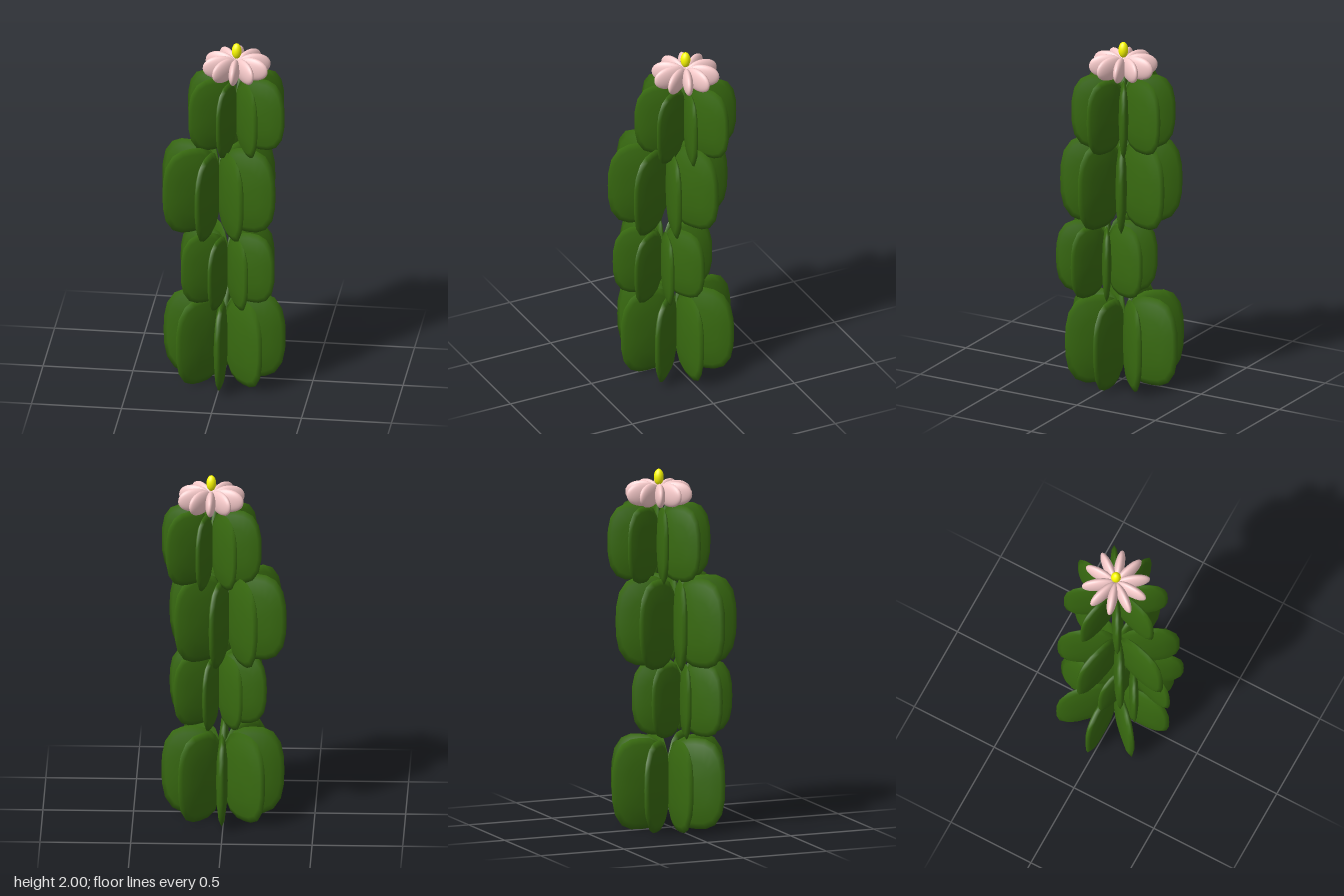
import * as THREE from 'three';
import { mergeVertices } from 'three/addons/utils/BufferGeometryUtils.js';

const green = new THREE.MeshStandardMaterial({ color: 0x386a10 });
const pink = new THREE.MeshStandardMaterial({ color: 0xf9cccc });
const yellow = new THREE.MeshStandardMaterial({ color: 0xffff00 });

// Flattened lobe reaching from the axis out to `length` along +x.
// `power` above 2 squares off its outline; `rings` sets how faceted its edge is.
function lobeGeometry(length, height, thickness, power, segments, rings) {
  let g = new THREE.SphereGeometry(1, segments, rings);
  g.rotateX(Math.PI / 2);
  g.deleteAttribute('uv');
  g.deleteAttribute('normal');
  g = mergeVertices(g, 1e-4);
  const p = g.attributes.position;
  for (let i = 0; i < p.count; i++) {
    const x = p.getX(i), y = p.getY(i), r = Math.hypot(x, y);
    let k = 1;
    if (r > 1e-4) {
      k = Math.pow(Math.pow(Math.abs(x / r), power) + Math.pow(Math.abs(y / r), power), -1 / power);
    }
    p.setXYZ(i, (1 + x * k) * length / 2, y * k * height / 2, p.getZ(i) * thickness / 2);
  }
  g.computeVertexNormals();
  return g;
}

// Ring of identical lobes around a vertical axis
function lobeRing(name, part, geometry, material, count, phase) {
  const ring = new THREE.Group();
  ring.name = name;
  for (let i = 0; i < count; i++) {
    const lobe = new THREE.Mesh(geometry, material);
    lobe.name = part + (i + 1);
    lobe.rotation.y = -THREE.MathUtils.degToRad(phase + i * 360 / count);
    ring.add(lobe);
  }
  return ring;
}

export function createModel() {
  const model = new THREE.Group();
  model.name = 'floweringCactus';

  // Stem segments, bottom to top: x, z, y bottom, y top, radius, turn in degrees
  const segments = [
    [0.007, -0.016, 0, 0.512, 0.339, 0],
    [0.036, 0.08, 0.51, 0.928, 0.28, 15],
    [-0.02, 0.02, 0.912, 1.415, 0.337, 15],
    [0.068, -0.045, 1.382, 1.812, 0.287, 14.7],
  ];
  segments.forEach(([x, z, y0, y1, radius, phase], i) => {
    const rib = lobeGeometry(radius, y1 - y0, radius * 0.19, 2.8, 20, 6);
    const segment = lobeRing('stemSegment' + (i + 1), 'rib', rib, green, 8, phase);
    segment.position.set(x, (y0 + y1) / 2, z);
    model.add(segment);
  });

  // Flower: ten rounded petals and an egg-shaped centre
  const petal = lobeGeometry(0.19, 0.132, 0.055, 2.1, 24, 16);
  const flower = lobeRing('flower', 'petal', petal, pink, 10, 19);
  flower.position.set(0.07, 1.865, -0.045);
  const centre = new THREE.Mesh(new THREE.SphereGeometry(1, 24, 16), yellow);
  centre.name = 'flowerCentre';
  centre.scale.set(0.027, 0.045, 0.027);
  centre.position.y = 0.09;
  flower.add(centre);
  model.add(flower);

  return model;
}
